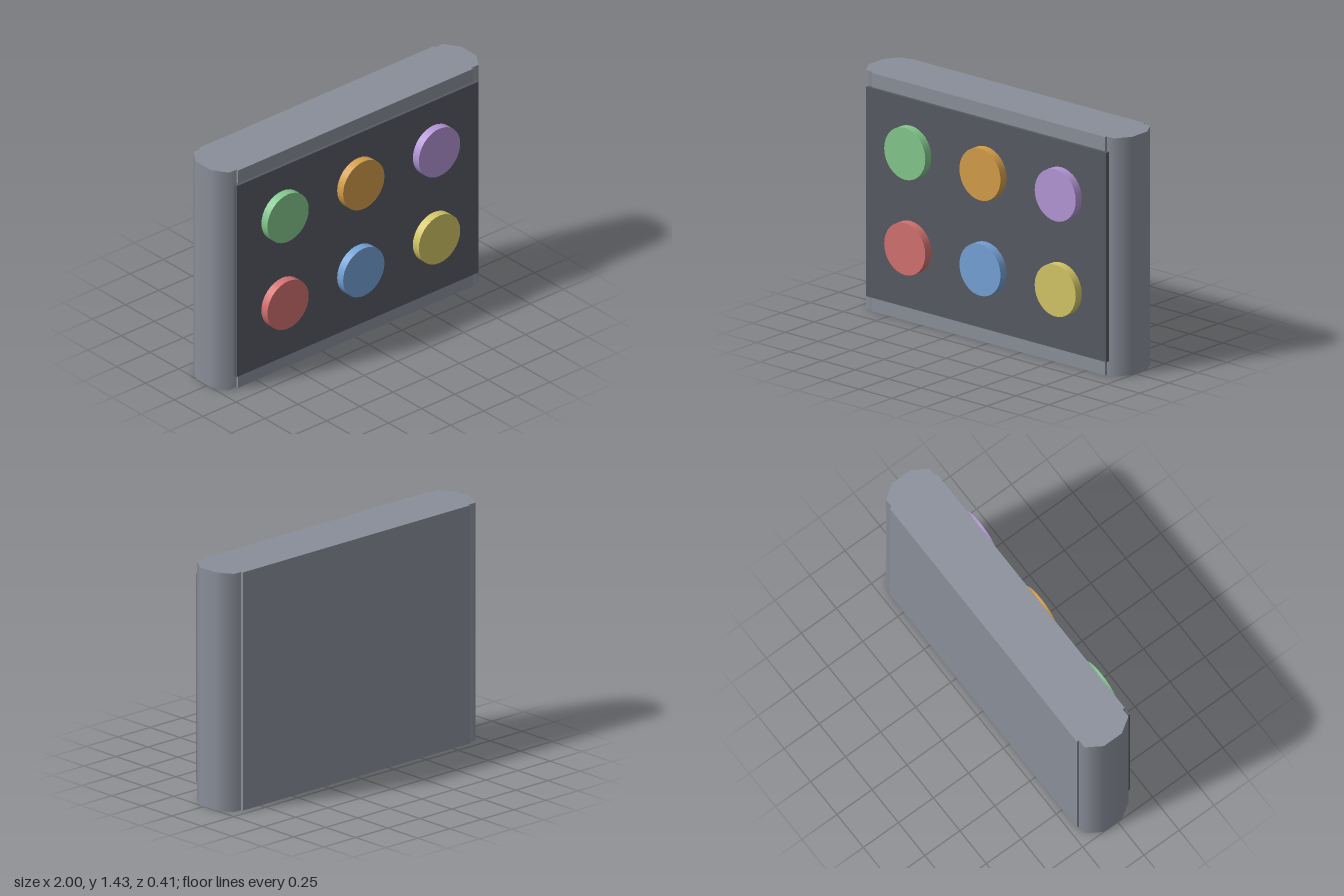
import * as THREE from 'three';

const material = (name, color) => {
  const m = new THREE.MeshStandardMaterial({ color });
  m.name = name;
  return m;
};

export function createModel() {
  const model = new THREE.Group();
  model.name = 'buttonPanel';
  const casing = material('casing grey', 0x8a8e99);
  const dark = material('dark grey', 0x575962);

  const add = (name, geometry, mat, x, y, z) => {
    const mesh = new THREE.Mesh(geometry, mat);
    mesh.name = name;
    mesh.position.set(x, y, z);
    model.add(mesh);
    return mesh;
  };

  const height = 1.43;
  const midZ = -0.035;

  // Slab body
  add('body', new THREE.BoxGeometry(1.774, height, 0.342), casing, 0, height / 2, midZ);

  // Eight-sided rounded ends, flattened in x
  const endGeometry = new THREE.CylinderGeometry(1, 1, height, 8, 1, false, Math.PI / 8);
  for (const side of [-1, 1]) {
    const end = add(side > 0 ? 'leftEnd' : 'rightEnd', endGeometry, casing, side * 0.899, height / 2, midZ);
    end.scale.set(0.1093, 1, 0.169);
  }

  // Front plate
  add('frontPlate', new THREE.BoxGeometry(1.822, 1.256, 0.026), dark, 0, 0.717, 0.142);

  // Two rows of three round buttons
  const buttonGeometry = new THREE.CylinderGeometry(0.156, 0.156, 0.06, 32).rotateX(Math.PI / 2);
  const rows = [
    [0.458, [['red', 0xd27070], ['blue', 0x72a0d4], ['yellow', 0xd2c566]]],
    [1.03, [['green', 0x82c68c], ['orange', 0xd29c4a], ['purple', 0xb294d4]]],
  ];
  for (const [y, colours] of rows) {
    colours.forEach(([name, hex], i) => {
      add(`${name}Button`, buttonGeometry, material(name, hex), (i - 1) * 0.571, y, 0.177);
    });
  }

  return model;
}
